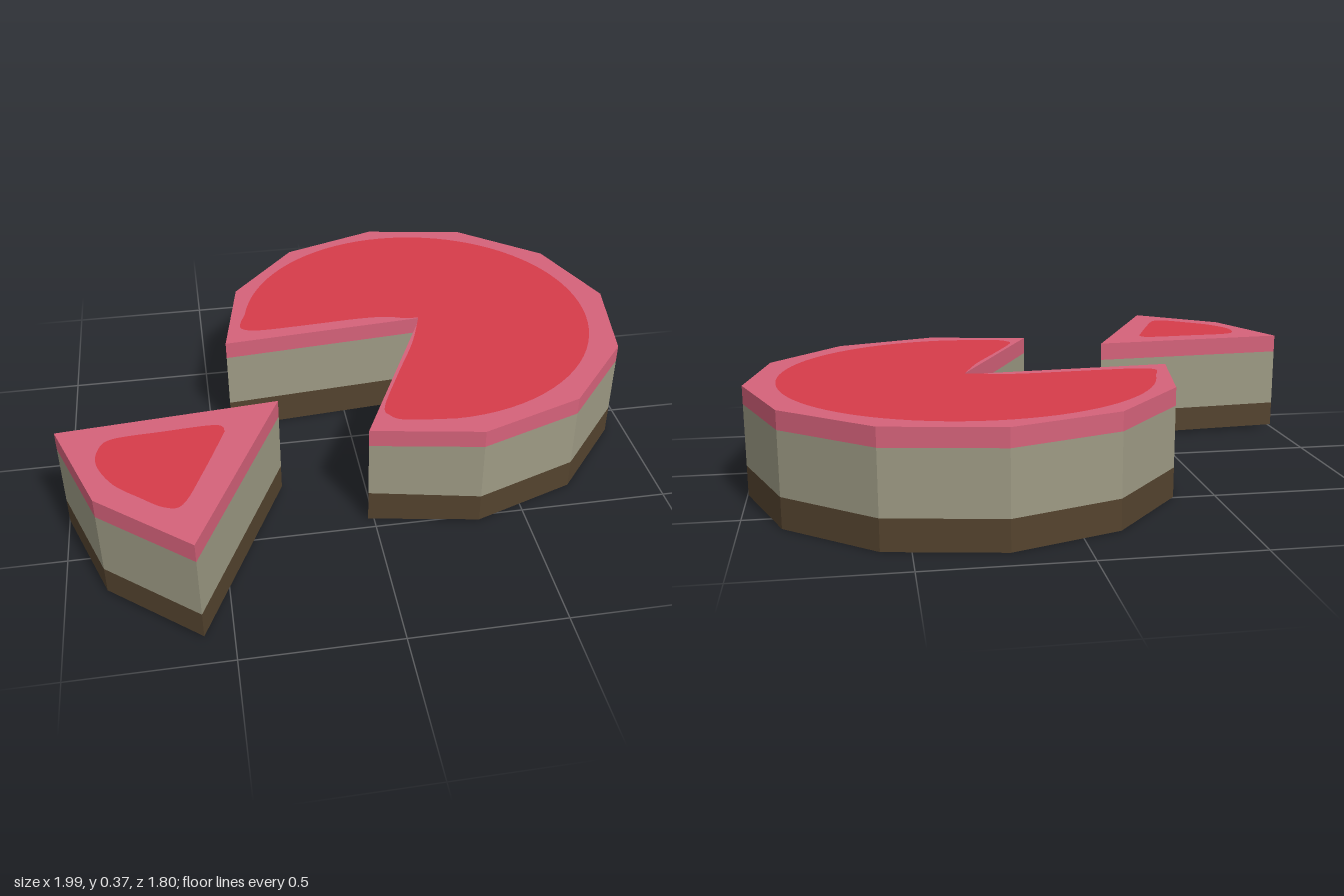
import * as THREE from 'three';

const sponge = new THREE.MeshStandardMaterial({ color: 0x9d9a84, name: 'sponge' });
const base = new THREE.MeshStandardMaterial({ color: 0x54432e, name: 'base' });
const icing = new THREE.MeshStandardMaterial({ color: 0xd5627a, name: 'icing' });
const glaze = new THREE.MeshStandardMaterial({ color: 0xd63c4a, name: 'glaze' });

const RADIUS = 0.715;
const STEP = Math.PI / 6;
const TURN = -0.084;

// Wedge outline in plan: a tip followed by rim corners of a twelve-sided cake
function wedge(cx, cz, first, last) {
  const points = [new THREE.Vector2(cx, -cz)];
  for (let k = first; k <= last; k++) {
    const a = TURN + k * STEP;
    points.push(new THREE.Vector2(cx + RADIUS * Math.cos(a), -(cz + RADIUS * Math.sin(a))));
  }
  return points;
}

// Three stacked layers; the base rises slightly at the corners of the cut
function layers(name, outline, heights, lift) {
  const group = new THREE.Group();
  group.name = name;
  const cut = [outline[0], outline[1], outline[outline.length - 1]];
  const parts = [['Base', base], ['Sponge', sponge], ['Icing', icing]];
  parts.forEach(([part, material], i) => {
    const geometry = new THREE.ExtrudeGeometry(new THREE.Shape(outline), {
      depth: heights[i + 1] - heights[i], bevelEnabled: false,
    });
    geometry.rotateX(-Math.PI / 2).translate(0, heights[i], 0);
    const p = geometry.attributes.position;
    for (let j = 0; j < p.count; j++) {
      const atCut = cut.some((c) => Math.hypot(c.x - p.getX(j), c.y + p.getZ(j)) < 0.001);
      if (atCut && Math.abs(p.getY(j) - heights[1]) < 0.001) p.setY(j, heights[1] + lift);
    }
    geometry.computeVertexNormals();
    const mesh = new THREE.Mesh(geometry, material);
    mesh.name = name + part;
    group.add(mesh);
  });
  return group;
}

// Flat glaze puddle just above the icing
function puddle(name, points, y) {
  const geometry = new THREE.ShapeGeometry(new THREE.Shape(points));
  geometry.rotateX(-Math.PI / 2).translate(0, y, 0);
  const mesh = new THREE.Mesh(geometry, glaze);
  mesh.name = name;
  return mesh;
}

const plan = (list) => list.map(([x, z]) => new THREE.Vector2(x, -z));
const smooth = (points, n) => new THREE.SplineCurve(points).getPoints(n);

export function createModel() {
  const model = new THREE.Group();
  model.name = 'slicedCake';

  // Main cake, missing one wedge
  const cake = layers('cake', wedge(0.285, -0.19, -6, 4), [0, 0.1, 0.305, 0.365], 0.01);
  const arc = [];
  for (let i = 0; i <= 60; i++) {
    const a = Math.PI / 2 - (i / 60) * Math.PI * 1.44;
    arc.push(new THREE.Vector2(0.27 + 0.625 * Math.cos(a), 0.195 - 0.635 * Math.sin(a)));
  }
  const backCut = smooth([arc[60], ...plan([
    [-0.366, -0.25], [-0.36, -0.215], [-0.30, -0.197], [-0.13, -0.205],
    [0.055, -0.218], [0.163, -0.215], [0.225, -0.196], [0.28, -0.19],
  ])], 48);
  const frontCut = smooth([...plan([
    [0.28, -0.19], [0.222, -0.025], [0.135, 0.157], [0.055, 0.335],
    [0.062, 0.388], [0.11, 0.42],
  ]), arc[0]], 40);
  cake.add(puddle('cakeGlaze', [...arc, ...backCut.slice(1), ...frontCut.slice(1, -1)], 0.367));

  // Separate slice
  const slice = layers('slice', wedge(-0.285, 0.255, 4, 6), [0.01, 0.1, 0.308, 0.371], 0);
  const rim = plan([
    [-0.468, 0.393], [-0.495, 0.356], [-0.666, 0.364], [-0.815, 0.377],
    [-0.858, 0.42], [-0.864, 0.50], [-0.815, 0.60], [-0.735, 0.676],
    [-0.666, 0.73], [-0.612, 0.725], [-0.548, 0.59], [-0.468, 0.393],
  ]);
  slice.add(puddle('sliceGlaze', smooth(rim, 60).slice(0, -1), 0.373));

  model.add(cake, slice);
  return model;
}
